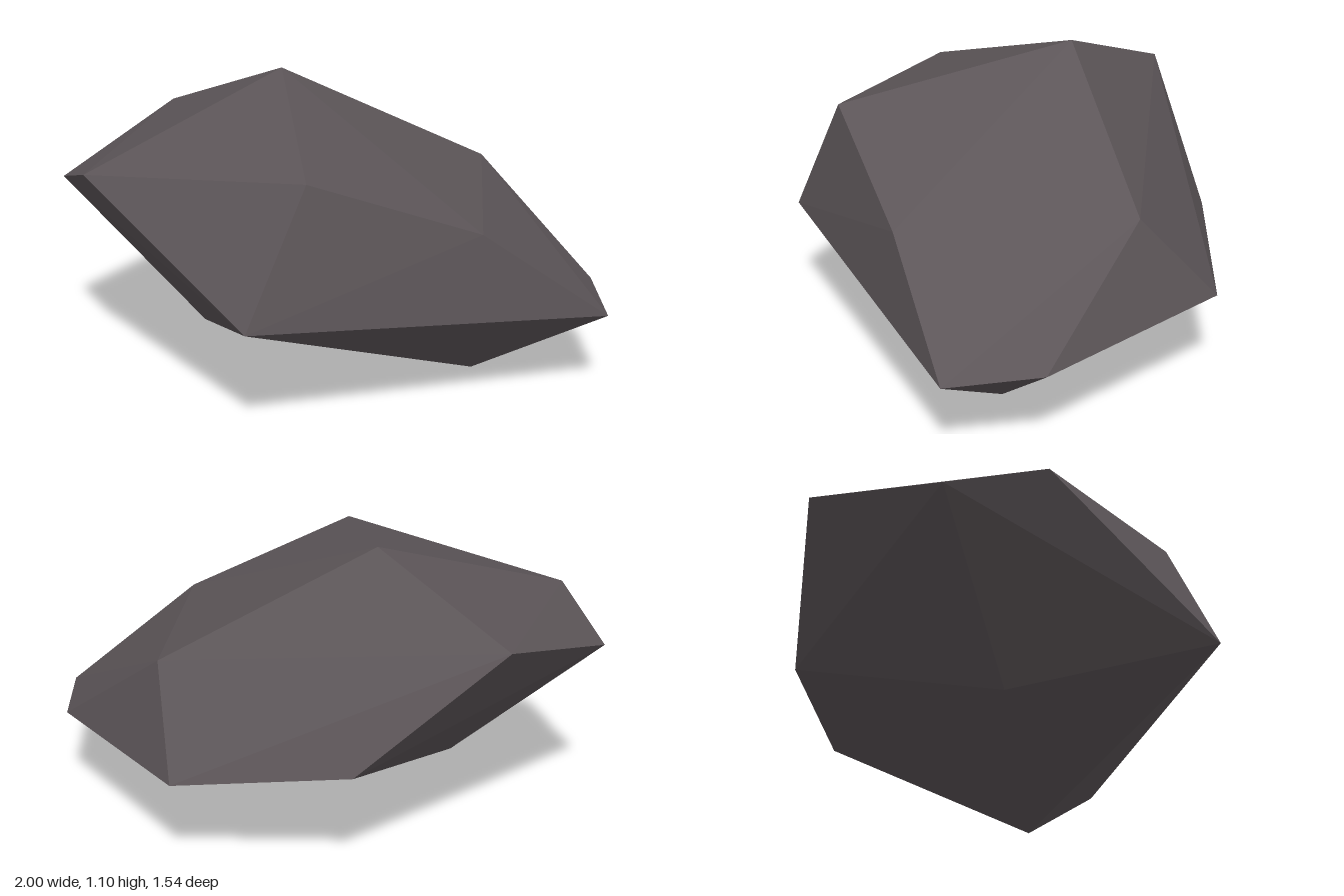
import * as THREE from 'three';
import { ConvexGeometry } from 'three/addons/geometries/ConvexGeometry.js';

export function createModel() {
  const stone = new THREE.MeshStandardMaterial({ color: 0x5c5558 });
  stone.name = 'dark stone';

  // Corners of the faceted boulder; its hull gives the flat facets
  const corners = [
    // ridge and upper rim
    [-0.15, 1.1, -0.27], [-0.16, 0.92, 0.63], [0.48, 0.68, 0.55],
    [0.65, 0.71, -0.3], [-0.55, 0.86, -0.74], [-0.92, 0.81, 0.08],
    // widest belt
    [-1, 0.69, -0.29], [-0.39, 0.43, 0.77], [0.97, 0.32, 0.49],
    [1, 0.33, 0.13], [0.63, 0.36, -0.61], [0, 0.43, -0.77],
    // underside
    [0.53, 0, 0.17], [-0.48, 0.17, -0.03],
  ].map((p) => new THREE.Vector3(...p));

  const rock = new THREE.Mesh(new ConvexGeometry(corners), stone);
  rock.name = 'rock';

  const model = new THREE.Group();
  model.name = 'boulder';
  model.add(rock);
  return model;
}
